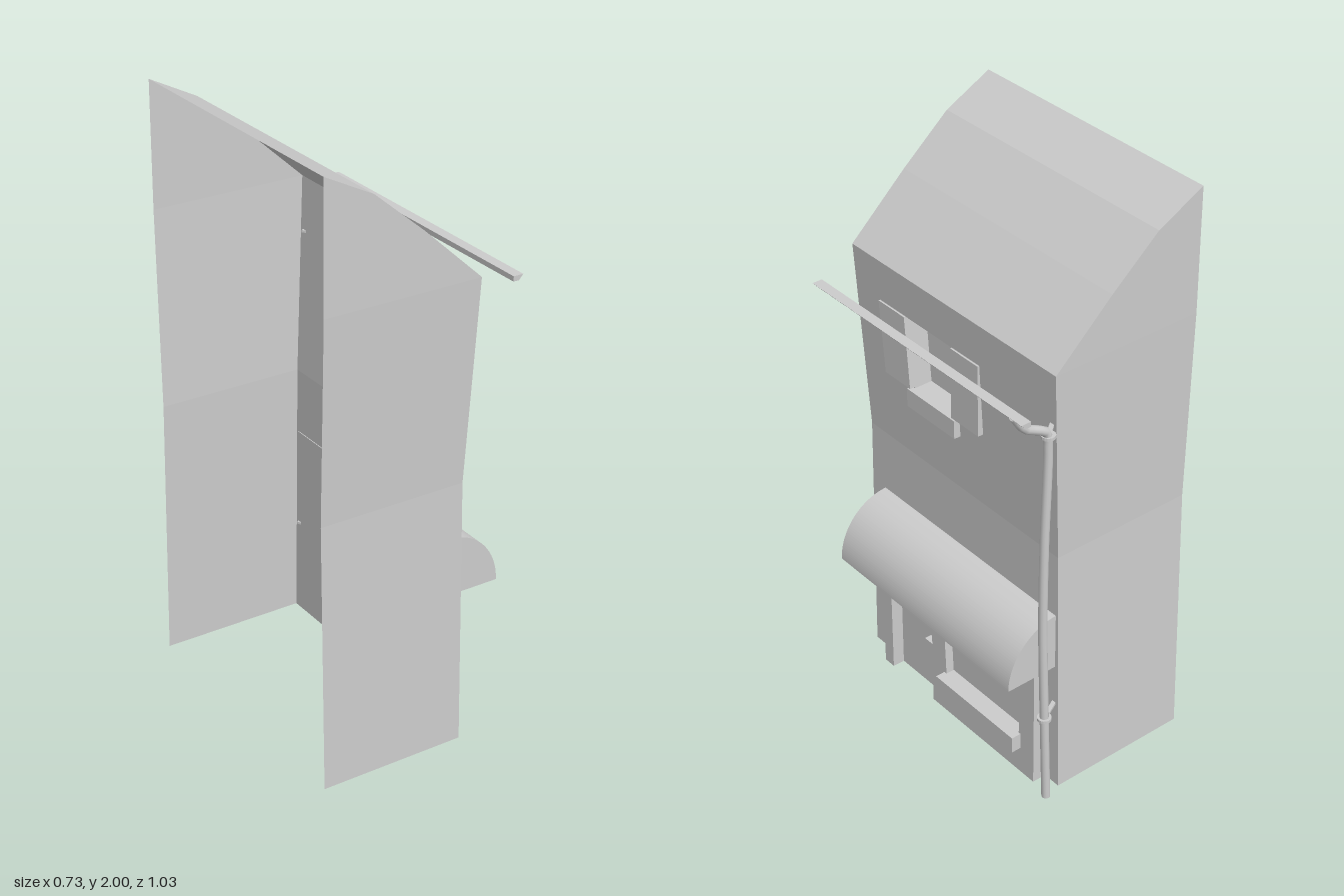
import * as THREE from 'three';

const mat = new THREE.MeshStandardMaterial({ color: 0xcccccc, side: THREE.DoubleSide, flatShading: true });
const smooth = new THREE.MeshStandardMaterial({ color: 0xcccccc, side: THREE.DoubleSide });
const lerp = THREE.MathUtils.lerp;
const WAIST = 0.91, EAVE = 1.58;

// Front wall leans outward above the waist
const wallX = y => y < WAIST ? 0.14 : lerp(0.14, 0.175, (y - WAIST) / (EAVE - WAIST));
// Half depth narrows at the waist
const halfZ = y => y < WAIST ? lerp(0.482, 0.464, y / WAIST)
  : lerp(0.464, 0.482, Math.min(1, (y - WAIST) / (EAVE - WAIST)));
const sideZ = (y, s) => 0.038 + s * halfZ(y);

const shapeOf = (pts, holes = []) => {
  const shape = new THREE.Shape(pts.map(p => new THREE.Vector2(...p)));
  shape.holes = holes.map(h => new THREE.Path(h.map(p => new THREE.Vector2(...p))));
  return shape;
};

function add(parent, name, geometry, material = mat) {
  const mesh = new THREE.Mesh(geometry, material);
  mesh.name = name;
  parent.add(mesh);
  return mesh;
}

// Flat outline whose 2D points are placed in space by a rule
function panel(parent, name, pts, place, holes) {
  const g = new THREE.ShapeGeometry(shapeOf(pts, holes)).toNonIndexed();
  const p = g.attributes.position;
  for (let i = 0; i < p.count; i++) p.setXYZ(i, ...place(p.getX(i), p.getY(i)));
  g.computeVertexNormals();
  return add(parent, name, g);
}

// Outline in (z, y) extruded along x from x0 to x1
function slab(parent, name, pts, x0, x1, holes) {
  const flip = list => list.map(([z, y]) => [-z, y]);
  const g = new THREE.ExtrudeGeometry(shapeOf(flip(pts), (holes || []).map(flip)),
    { depth: x1 - x0, bevelEnabled: false });
  g.rotateY(Math.PI / 2).translate(x0, 0, 0);
  return add(parent, name, g);
}

const rect = (z0, z1, y0, y1) => [[z0, y0], [z1, y0], [z1, y1], [z0, y1]];

function box(parent, name, x0, x1, y0, y1, z0, z1) {
  const g = new THREE.BoxGeometry(x1 - x0, y1 - y0, z1 - z0);
  g.translate((x0 + x1) / 2, (y0 + y1) / 2, (z0 + z1) / 2);
  return add(parent, name, g);
}

function buildShell(parent) {
  const roof = [[-0.365, 2], [-0.2, 1.915], [-0.03, 1.77], [0.175, EAVE]];
  for (const s of [1, -1]) {
    const place = (x, y) => [x, y, sideZ(y, s)];
    panel(parent, 'sideWallLower', [[-0.365, 0], [0.14, 0], [0.14, WAIST], [-0.365, WAIST]], place);
    // Strip below the eave leans, gable above it is upright
    panel(parent, 'sideWallUpper', [[-0.365, WAIST], [0.14, WAIST], [0.175, EAVE], [-0.365, EAVE]], place);
    panel(parent, 'gable', [[-0.365, EAVE], ...roof.slice().reverse()], place);
  }
  for (let i = 0; i < 3; i++) {
    const [a, b] = [roof[i], roof[i + 1]];
    panel(parent, 'roofSlope', [[0, -1], [1, -1], [1, 1], [0, 1]],
      (t, s) => [lerp(a[0], b[0], t), lerp(a[1], b[1], t), sideZ(2, -s)]);
  }
  const onWall = (z, y) => [wallX(y), y, z];
  const corners = (y0, y1) => [[sideZ(y0, -1), y0], [sideZ(y0, 1), y0], [sideZ(y1, 1), y1], [sideZ(y1, -1), y1]];
  panel(parent, 'frontWallLower', corners(0, WAIST), onWall);
  panel(parent, 'frontWallUpper', corners(WAIST, EAVE), onWall, [upperOpening]);
}

const upperOpening = [[0.04, 1.18], [0.245, 1.18], [0.267, 1.435], [0.04, 1.435]];

function buildUpperWindow(parent) {
  const back = 0.09;
  panel(parent, 'windowPane', upperOpening, (z, y) => [back, y, z]);
  upperOpening.forEach((a, i) => {
    const b = upperOpening[(i + 1) % 4];
    panel(parent, 'windowReveal', rect(0, 1, 0, 1), (t, d) => {
      const y = lerp(a[1], b[1], t);
      return [lerp(wallX(y), back, d), y, lerp(a[0], b[0], t)];
    });
  });
  slab(parent, 'leftShutter', [[0.37, 1.185], [0.245, 1.185], [0.267, 1.435], [0.395, 1.435]], 0.15, 0.174);
  slab(parent, 'rightShutter', rect(0.04, -0.09, 1.185, 1.435), 0.15, 0.174);
  box(parent, 'windowSill', 0.145, 0.175, 1.115, 1.18, 0.025, 0.26);
}

function buildShopfront(parent) {
  const opening = [[0.065, 0.14], [-0.305, 0.14], [-0.325, 0.465], [0.08, 0.465]];
  // Frame with a notch for the doorway
  slab(parent, 'shopFrame', [[0.405, 0], [0.36, 0], [0.36, 0.43], [0.14, 0.43], [0.14, 0],
    [-0.38, 0], [-0.38, 0.49], [0.405, 0.49]], 0.14, 0.19, [opening]);
  panel(parent, 'door', rect(0.14, 0.36, 0, 0.43), (z, y) => [0.147, y, z]);
  panel(parent, 'shopWindowPane', opening, (z, y) => [0.16, y, z]);
  box(parent, 'doorHandle', 0.147, 0.172, 0.206, 0.214, 0.16, 0.203);
  box(parent, 'shopWindowSill', 0.16, 0.225, 0.1, 0.16, -0.315, 0.077);

  // Quarter-round awning
  const shape = new THREE.Shape();
  shape.moveTo(0.137, 0.482);
  shape.lineTo(0.327, 0.482);
  shape.absellipse(0.137, 0.482, 0.19, 0.202, 0, Math.PI / 2, false);
  shape.closePath();
  const g = new THREE.ExtrudeGeometry(shape, { depth: 0.86, bevelEnabled: false, curveSegments: 20 });
  add(parent, 'awning', g.translate(0, 0, -0.42));
}

function buildGutter(parent) {
  const profile = shapeOf([[0.325, 1.513], [0.345, 1.513], [0.36, 1.53], [0.325, 1.53]]);
  const g = new THREE.ExtrudeGeometry(profile, { depth: 0.99, bevelEnabled: false });
  add(parent, 'gutter', g.translate(0, 0, -0.515));

  // Slightly crooked downpipe with a swan neck
  const path = new THREE.CatmullRomCurve3([
    [0.203, 0.005, -0.458], [0.211, 0.33, -0.455], [0.217, 0.7, -0.45], [0.217, 1, -0.452],
    [0.21, 1.36, -0.455], [0.217, 1.415, -0.456], [0.25, 1.437, -0.456], [0.295, 1.46, -0.456],
    [0.32, 1.49, -0.456], [0.338, 1.52, -0.456],
  ].map(p => new THREE.Vector3(...p)));
  add(parent, 'downpipe', new THREE.TubeGeometry(path, 60, 0.0145, 12), smooth);
  const end = new THREE.CircleGeometry(0.0145, 12).rotateX(Math.PI / 2);
  add(parent, 'downpipeEnd', end.translate(0.203, 0.005, -0.458));

  // Clamps fixing the pipe to the wall corner
  for (const [x, y] of [[0.211, 0.335], [0.21, 1.4]]) {
    const clamp = new THREE.Group();
    clamp.name = 'pipeClamp';
    const ring = new THREE.CylinderGeometry(0.023, 0.023, 0.01, 16);
    add(clamp, 'clampRing', ring.translate(x, y, -0.455));
    const x0 = wallX(y) - 0.005, dx = x - x0, dz = -0.455 + 0.415;
    const arm = add(clamp, 'clampArm', new THREE.BoxGeometry(Math.hypot(dx, dz), 0.008, 0.014));
    arm.position.set(x0 + dx / 2, y, -0.415 + dz / 2);
    arm.rotation.y = Math.atan2(-dz, dx);
    parent.add(clamp);
  }
}

export function createModel() {
  const model = new THREE.Group();
  model.name = 'shopHouse';
  const parts = { houseShell: buildShell, upperWindow: buildUpperWindow, shopfront: buildShopfront, rainwater: buildGutter };
  for (const [name, build] of Object.entries(parts)) {
    const group = new THREE.Group();
    group.name = name;
    build(group);
    model.add(group);
  }
  return model;
}
